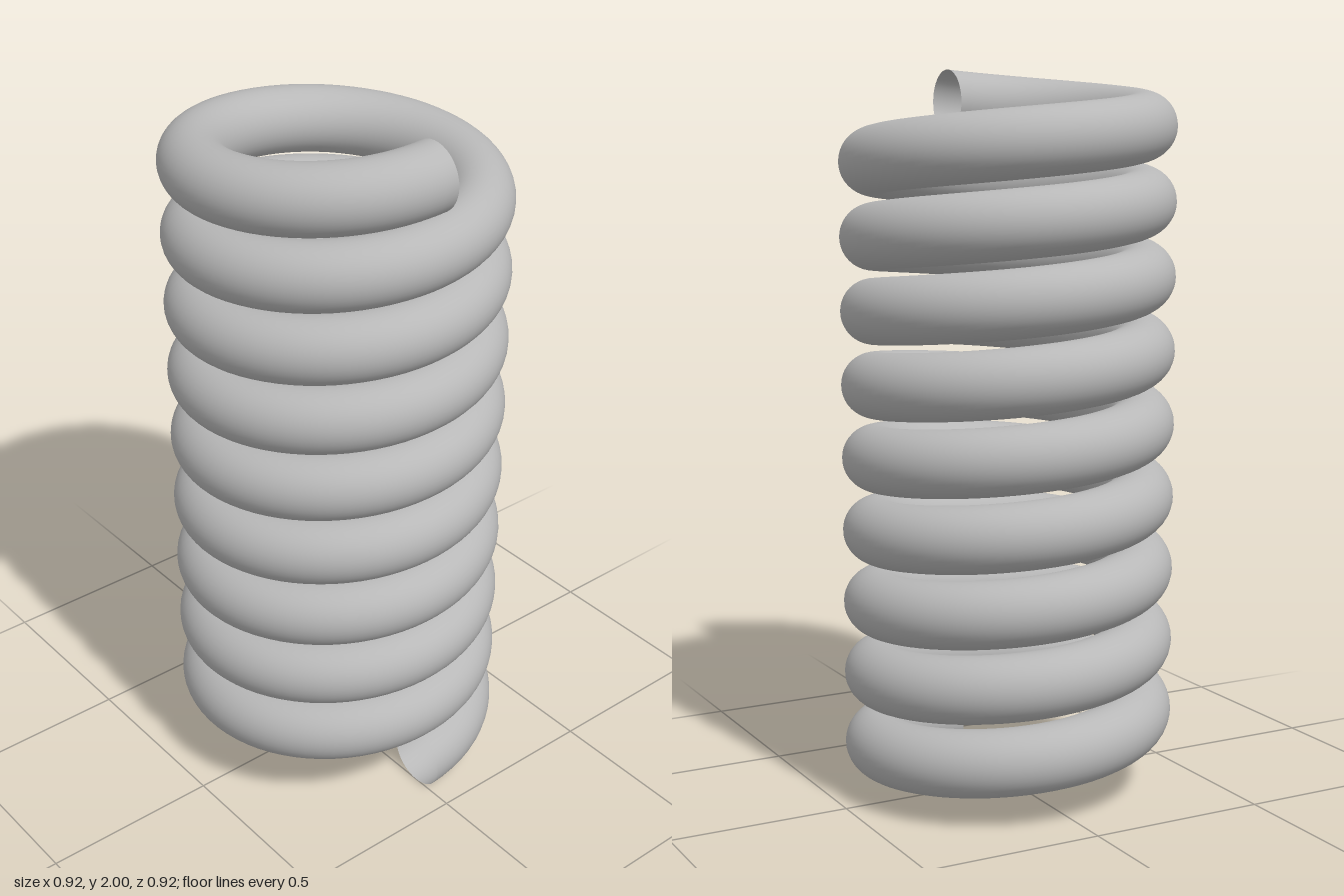
import * as THREE from 'three';
import { mergeVertices } from 'three/addons/utils/BufferGeometryUtils.js';

const TURNS = 9;
const WIRE = 0.091;         // wire radius
const COIL = 0.367;         // coil centreline radius
const RISE = 2 - 2 * WIRE;  // height gained from end to end

// Rolls a flat grid into an open tube that climbs in a helix,
// with circular sections lying in the vertical radial planes.
function coilGeometry(stepsPerTurn, sides) {
  const grid = new THREE.PlaneGeometry(1, 1, TURNS * stepsPerTurn, sides);
  const { position, uv } = grid.attributes;
  for (let i = 0; i < position.count; i++) {
    const t = uv.getX(i);
    const turn = t * TURNS * Math.PI * 2;
    const around = uv.getY(i) * Math.PI * 2;
    const radius = COIL + WIRE * Math.cos(around);
    position.setXYZ(
      i,
      radius * Math.cos(turn),
      WIRE + t * RISE + WIRE * Math.sin(around),
      -radius * Math.sin(turn)
    );
  }
  // Weld the seam along the wire so the shading stays smooth
  grid.deleteAttribute('uv');
  grid.deleteAttribute('normal');
  const coil = mergeVertices(grid, 1e-5);
  coil.computeVertexNormals();
  return coil;
}

export function createModel() {
  const steel = new THREE.MeshStandardMaterial({ color: 0xb8b8b8, side: THREE.DoubleSide });
  steel.name = 'steel grey';

  // Coil spring, hollow and open at both ends
  const spring = new THREE.Mesh(coilGeometry(72, 40), steel);
  spring.name = 'springCoil';

  const model = new THREE.Group();
  model.name = 'coilSpring';
  model.add(spring);
  return model;
}
